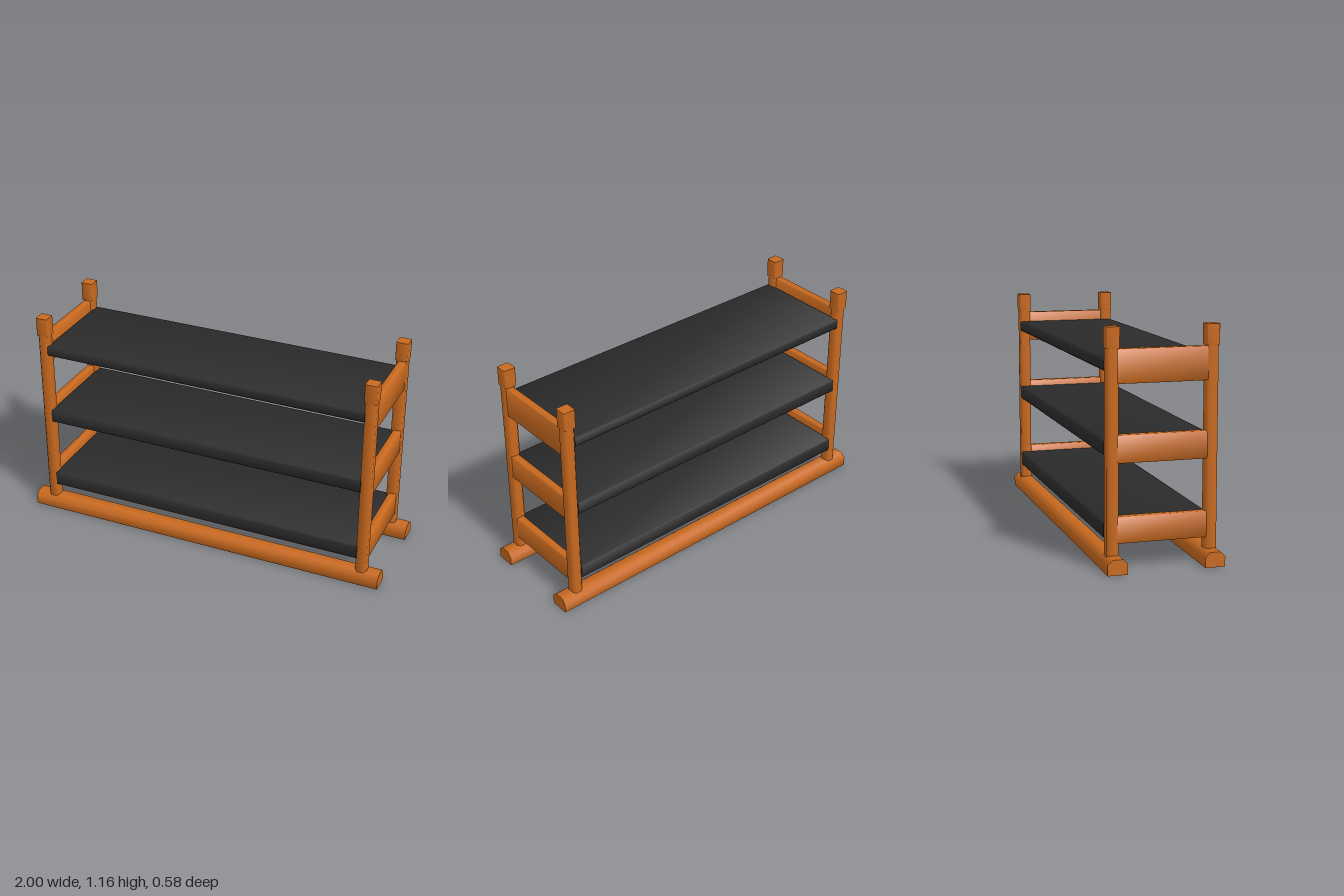
import * as THREE from 'three';
import { toCreasedNormals } from 'three/addons/utils/BufferGeometryUtils.js';

const wood = new THREE.MeshStandardMaterial({ color: 0xc8691f });
const fabric = new THREE.MeshStandardMaterial({ color: 0x2b2b2b });

// Bar of the given length along z, centred, with a chamfered cross-section
// (top and bottom edges can have different chamfers)
function bar(w, h, length, top, bottom = top) {
  const x = w / 2, y = h / 2;
  const shape = new THREE.Shape([
    [-x + bottom, -y], [x - bottom, -y], [x, -y + bottom], [x, y - top],
    [x - top, y], [-x + top, y], [-x, y - top], [-x, -y + bottom],
  ].map(([a, b]) => new THREE.Vector2(a, b)));
  const geo = new THREE.ExtrudeGeometry(shape, { depth: length, bevelEnabled: false });
  geo.translate(0, 0, -length / 2);
  return geo;
}

function add(parent, name, geo, material, x, y, z) {
  const mesh = new THREE.Mesh(toCreasedNormals(geo, Math.PI / 3), material);
  mesh.name = name;
  mesh.position.set(x, y, z);
  parent.add(mesh);
}

export function createModel() {
  const model = new THREE.Group();
  model.name = 'shelfRack';

  // Floor rails, running the full width under the posts
  for (const s of [1, -1]) {
    const rail = bar(0.1, 0.075, 2, 0.024, 0.001).rotateY(Math.PI / 2);
    add(model, s > 0 ? 'frontFloorRail' : 'backFloorRail', rail, wood, 0, 0.0375, s * 0.242);
  }

  // Corner posts: softened shaft with a square head
  for (const sx of [1, -1]) for (const sz of [1, -1]) {
    const post = new THREE.Group();
    post.name = (sz > 0 ? 'front' : 'back') + (sx > 0 ? 'Left' : 'Right') + 'Post';
    post.position.set(sx * 0.9, 0, sz * 0.245);
    const shaft = bar(0.06, 0.06, 1.03, 0.012).rotateX(Math.PI / 2);
    add(post, 'postShaft', shaft, wood, 0, 0.555, 0);
    const head = bar(0.064, 0.064, 0.1, 0.003).rotateX(Math.PI / 2);
    add(post, 'postHead', head, wood, 0, 1.107, 0);
    model.add(post);
  }

  // Levels: [slat bottom, slat top, shelf bottom, shelf top]
  const levels = [
    [0.13, 0.26, 0.145, 0.225],
    [0.515, 0.65, 0.545, 0.618],
    [0.89, 1.053, 0.945, 1.0],
  ];
  for (const [slat0, slat1, shelf0, shelf1] of levels) {
    for (const s of [1, -1]) {
      add(model, s > 0 ? 'leftSlat' : 'rightSlat', bar(0.042, slat1 - slat0, 0.45, 0.005),
        wood, s * 0.904, (slat0 + slat1) / 2, 0);
    }
    const shelf = bar(0.55, shelf1 - shelf0, 1.75, 0.008).rotateY(Math.PI / 2);
    add(model, 'shelf', shelf, fabric, 0, (shelf0 + shelf1) / 2, 0);
  }
  return model;
}
